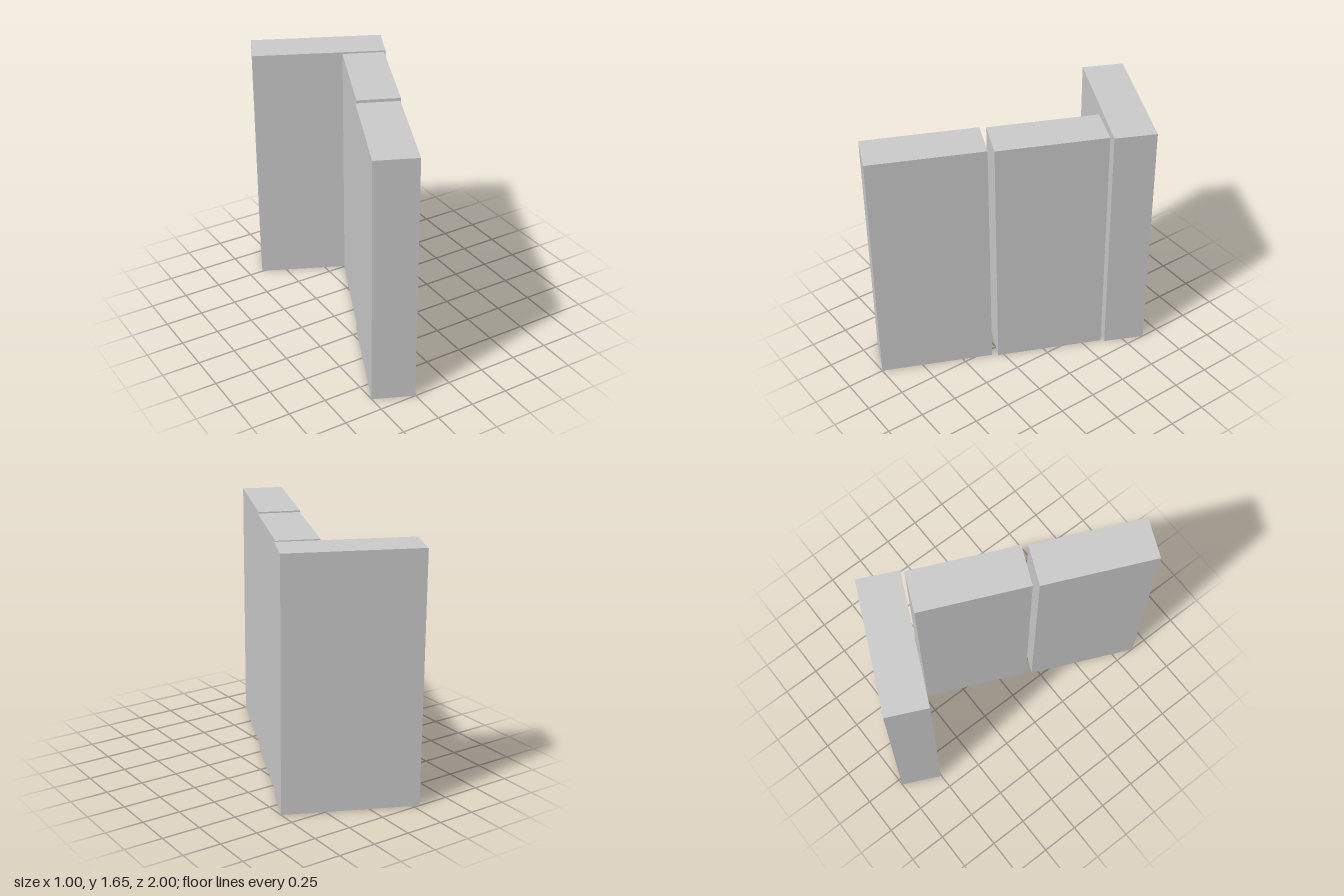
import * as THREE from 'three';

const HEIGHT = 1.655;

export function createModel() {
  const group = new THREE.Group();
  const material = new THREE.MeshStandardMaterial({ color: 0xcccccc, flatShading: true });

  // Upright slab standing on the floor, turned about the vertical axis
  function addSlab(name, width, depth, x, z, degrees) {
    const slab = new THREE.Mesh(new THREE.BoxGeometry(width, HEIGHT, depth), material);
    slab.name = name;
    slab.position.set(x, HEIGHT / 2, z);
    slab.rotation.y = THREE.MathUtils.degToRad(degrees);
    group.add(slab);
  }

  // Two slabs in line, and a third set across their back end
  addSlab('frontSlab', 0.273, 0.745, -0.226, 0.603, -23.8);
  addSlab('middleSlab', 0.273, 0.716, 0.095, -0.098, -23.8);
  addSlab('backCrossSlab', 0.872, 0.272, 0.048, -0.693, -25);

  return group;
}
